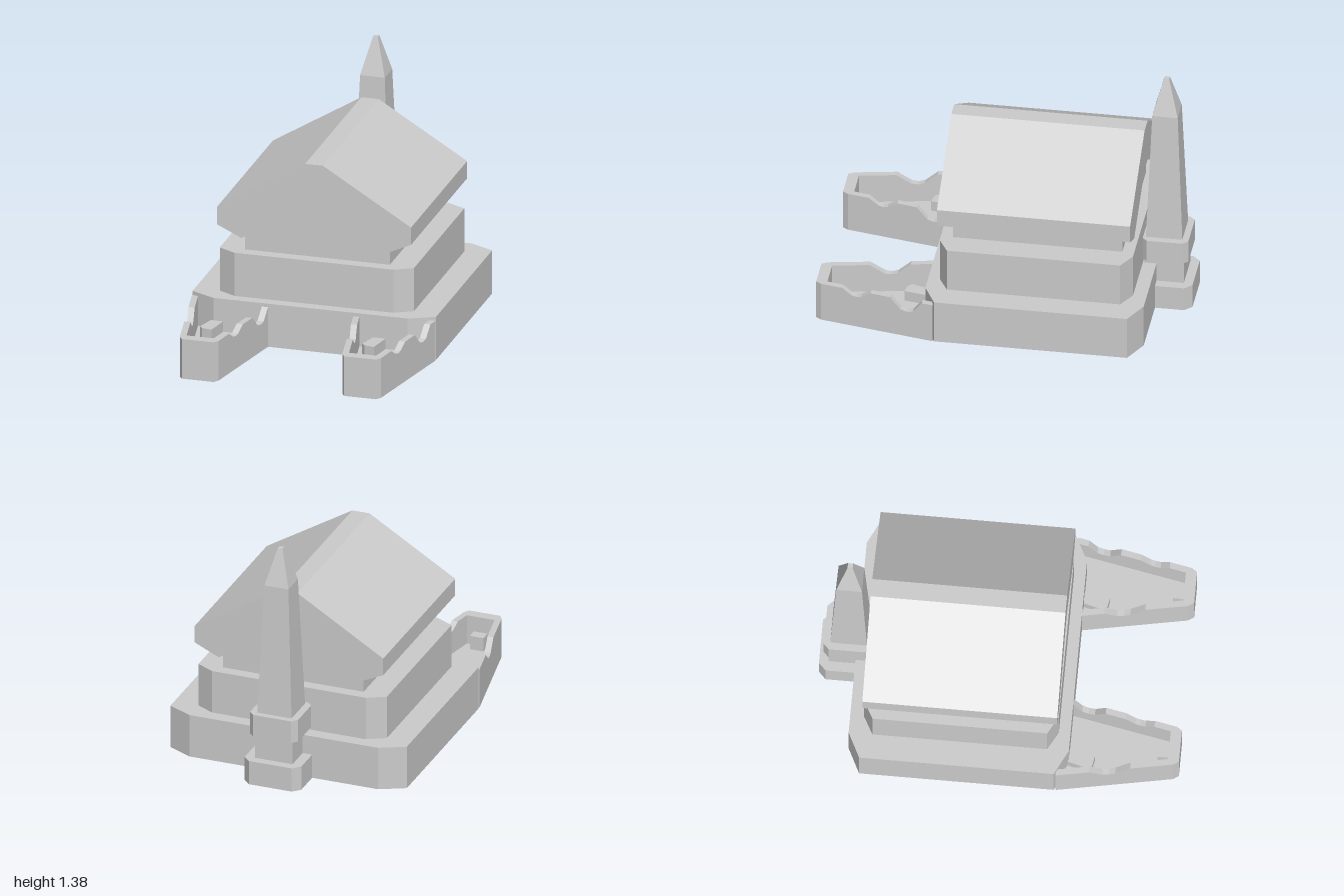
import * as THREE from 'three';

const material = new THREE.MeshStandardMaterial({ color: 0xcccccc, flatShading: true });

function add(parent, name, geometry) {
  const mesh = new THREE.Mesh(geometry, material);
  mesh.name = name;
  parent.add(mesh);
  return mesh;
}

function shapeOf(points) {
  return new THREE.Shape(points.map(([a, b]) => new THREE.Vector2(a, b)));
}

// Plan outline in (x, z) raised from y0 to y1
function slab(points, y0, y1) {
  const shape = shapeOf(points.map(([x, z]) => [x, -z]));
  return new THREE.ExtrudeGeometry(shape, { depth: y1 - y0, bevelEnabled: false })
    .rotateX(-Math.PI / 2).translate(0, y0, 0);
}

// Front outline in (x, y) running from z0 to z1
function beam(points, z0, z1) {
  return new THREE.ExtrudeGeometry(shapeOf(points), { depth: z1 - z0, bevelEnabled: false })
    .translate(0, 0, z0);
}

// Rectangle with cut corners; cx and cz are the cut lengths
function cutRect(w, z0, z1, cx, cz) {
  return [
    [-w + cx, z1], [w - cx, z1], [w, z1 - cz], [w, z0 + cz],
    [w - cx, z0], [-w + cx, z0], [-w, z0 + cz], [-w, z1 - cz],
  ];
}

// Four-sided tapering block
function taper(bottom, top, y0, y1) {
  return new THREE.CylinderGeometry(top * Math.SQRT2, bottom * Math.SQRT2, y1 - y0, 4)
    .rotateY(Math.PI / 4).translate(0, (y0 + y1) / 2, 0);
}

const WALL_TOP = 0.23;
const ROOT = { x: 0.23, z: 0.34 };
const TIP = { x: 0.11, z: 0.97 };

// Slanted side wall; notches are [z, y] points of its top edge from root to tip
function prongWall(side, notches) {
  const shape = shapeOf([[ROOT.z, 0], [TIP.z, 0], [TIP.z, WALL_TOP], ...notches.slice().reverse(), [ROOT.z, WALL_TOP]]);
  const thick = 0.035;
  const geometry = new THREE.ExtrudeGeometry(shape, { depth: thick, bevelEnabled: false });
  const p = geometry.attributes.position;
  // Lay the outline along z, shear it to the taper
  for (let i = 0; i < p.count; i++) {
    const z = p.getX(i), y = p.getY(i), d = p.getZ(i);
    const t = (z - ROOT.z) / (TIP.z - ROOT.z);
    const outer = ROOT.x + (TIP.x - ROOT.x) * t;
    // The extrusion runs towards -x on both sides, which keeps the winding
    const x = side > 0 ? outer - d : -outer + thick - d;
    p.setXYZ(i, x, y, z);
  }
  geometry.computeVertexNormals();
  return geometry;
}

function makeProng() {
  const prong = new THREE.Group();
  prong.name = 'frontProng';
  add(prong, 'prongFloor', slab([[-0.23, 0.34], [-0.11, 0.97], [0.11, 0.97], [0.23, 0.34]], 0, 0.06));
  add(prong, 'prongTip', slab([[-0.116, 0.94], [-0.11, 0.97], [-0.09, 1], [0.09, 1], [0.11, 0.97], [0.116, 0.94]], 0, WALL_TOP));
  add(prong, 'prongWallTwoNotches', prongWall(1, [
    [0.4, 0.23], [0.45, 0.165], [0.485, 0.157], [0.52, 0.165], [0.58, 0.23],
    [0.69, 0.23], [0.745, 0.195], [0.77, 0.19], [0.8, 0.195], [0.85, 0.23],
  ]));
  add(prong, 'prongWallOneNotch', prongWall(-1, [
    [0.52, 0.23], [0.59, 0.175], [0.625, 0.168], [0.66, 0.175], [0.74, 0.23],
  ]));
  // Small blocks standing in the trough
  add(prong, 'rearBlock', slab([[-0.1, 0.38], [-0.135, 0.51], [-0.115, 0.53], [-0.06, 0.54], [-0.035, 0.4]], 0.05, 0.12));
  add(prong, 'tipBlock', slab([[-0.04, 0.88], [-0.04, 0.95], [0.04, 0.95], [0.04, 0.88]], 0.05, 0.14));
  return prong;
}

function makeSpire() {
  const spire = new THREE.Group();
  spire.name = 'spire';
  add(spire, 'spireFoot', slab([[-0.165, -0.75], [0.165, -0.75], [0.165, -0.96], [0.125, -1], [-0.125, -1], [-0.165, -0.96]], 0, 0.14));
  add(spire, 'spireNeck', taper(0.11, 0.11, 0.13, 0.29).translate(0, 0, -0.84));
  add(spire, 'spireCollar', slab(cutRect(0.14, -0.975, -0.72, 0.03, 0.03), 0.28, 0.41));
  add(spire, 'spireShaft', taper(0.1, 0.07, 0.41, 1.17).translate(0, 0, -0.84));
  add(spire, 'spirePoint', taper(0.07, 0.014, 1.17, 1.38).translate(0, 0, -0.84));
  return spire;
}

export function createModel() {
  const model = new THREE.Group();
  model.name = 'shrine';

  // Stepped base
  add(model, 'lowerTier', slab(cutRect(0.69, -0.8, 0.4, 0.14, 0.07), 0, 0.25));
  add(model, 'upperTier', slab(cutRect(0.55, -0.725, 0.337, 0.1, 0.055), 0.25, 0.5));

  // Gabled hall under an overhanging roof
  add(model, 'hall', beam([[-0.41, 0.5], [0.41, 0.5], [0.41, 0.59], [0.05, 0.81], [-0.05, 0.81], [-0.41, 0.59]], -0.66, 0.27));
  add(model, 'roof', beam([
    [-0.55, 0.755], [-0.55, 0.655], [-0.41, 0.59], [-0.05, 0.81], [0.05, 0.81],
    [0.41, 0.59], [0.55, 0.655], [0.55, 0.755], [0.05, 1.06], [-0.05, 1.06],
  ], -0.725, 0.337));

  // Two identical troughs reaching forward
  for (const x of [-0.46, 0.46]) {
    const prong = makeProng();
    prong.position.x = x;
    model.add(prong);
  }

  model.add(makeSpire());
  return model;
}
